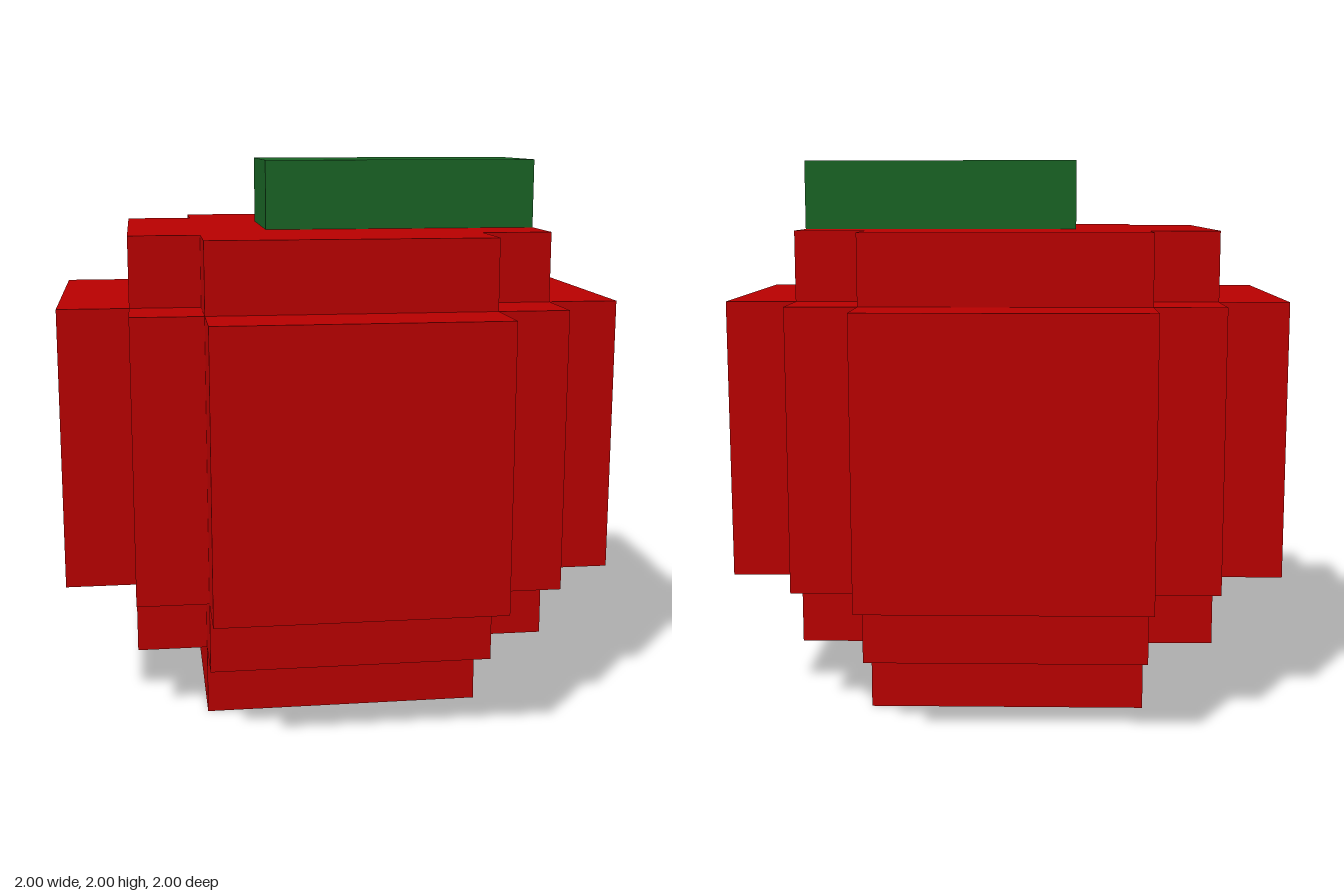
import * as THREE from 'three';

// Symmetric stepped outline from one quadrant's corners, listed from the +x side round to the +y side
function steppedShape(quadrant) {
  const mirrored = [...quadrant].reverse();
  const points = [
    ...quadrant,
    ...mirrored.map(([x, y]) => [-x, y]),
    ...quadrant.map(([x, y]) => [-x, -y]),
    ...mirrored.map(([x, y]) => [x, -y]),
  ];
  return new THREE.Shape(points.map(([x, y]) => new THREE.Vector2(x, y)));
}

export function createModel() {
  const model = new THREE.Group();
  const red = new THREE.MeshStandardMaterial({ name: 'red skin', color: 0xb80000 });
  const green = new THREE.MeshStandardMaterial({ name: 'green stem', color: 0x196224 });

  const square = [[0.5, 0.5]];
  const cross = [[0.75, 0.5], [0.5, 0.5], [0.5, 0.75]];
  const round = [[1, 0.5], [0.75, 0.5], [0.75, 0.75], [0.5, 0.75], [0.5, 1]];

  // Blocky round fruit, stacked in horizontal layers
  const layers = [
    ['fruitBase', square, 0, 0.25],
    ['fruitLower', cross, 0.25, 0.25],
    ['fruitMiddle', round, 0.5, 1],
    ['fruitUpper', cross, 1.5, 0.25],
  ];
  for (const [name, outline, bottom, height] of layers) {
    const geometry = new THREE.ExtrudeGeometry(steppedShape(outline), { depth: height, bevelEnabled: false });
    geometry.rotateX(-Math.PI / 2);
    const layer = new THREE.Mesh(geometry, red);
    layer.name = name;
    layer.position.y = bottom;
    model.add(layer);
  }

  // Stem, set off to the left on top
  const stem = new THREE.Mesh(new THREE.BoxGeometry(1, 0.25, 0.5), green);
  stem.name = 'stem';
  stem.position.set(0.25, 1.875, 0);
  model.add(stem);

  return model;
}
